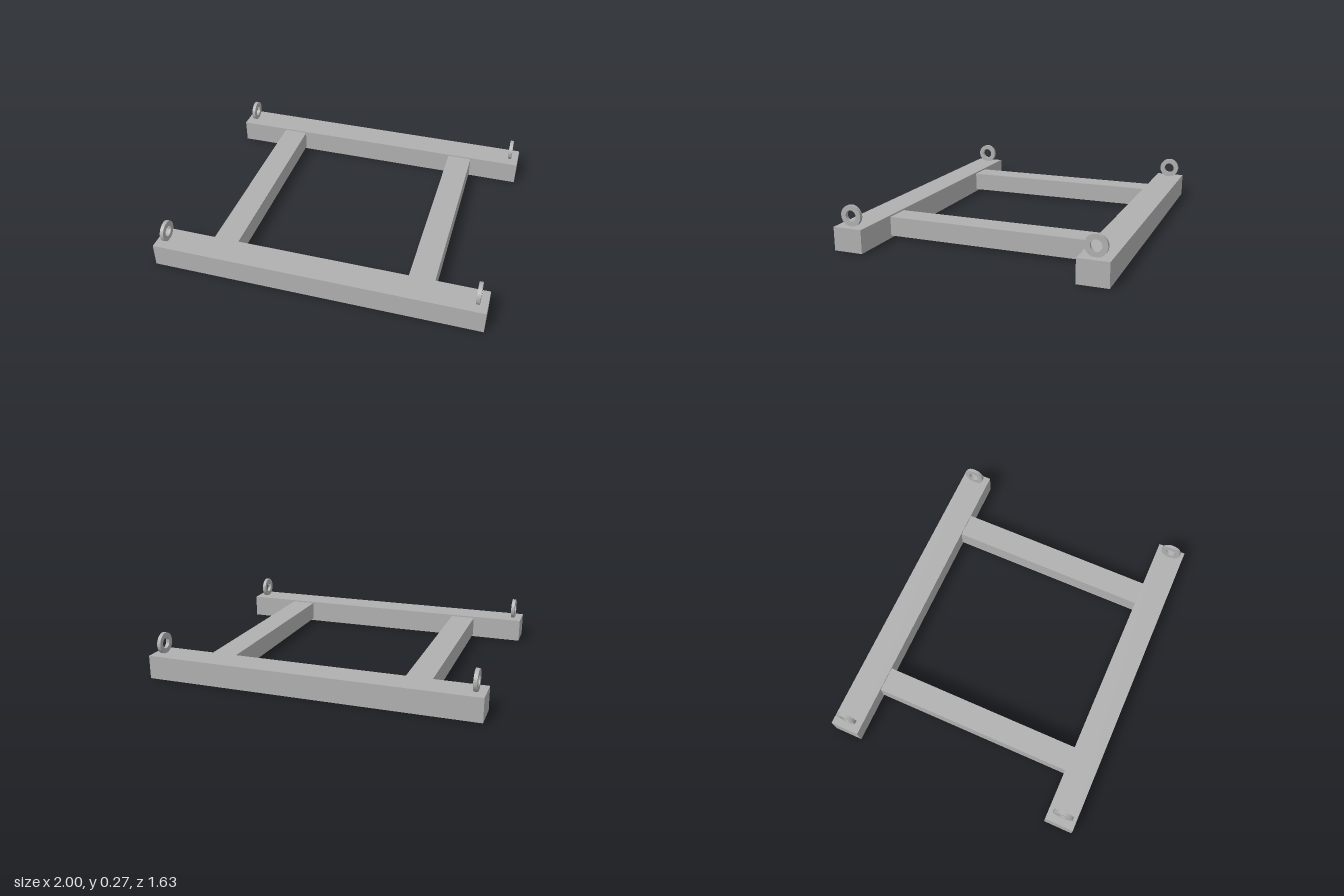
import * as THREE from 'three';
import { toCreasedNormals } from 'three/addons/utils/BufferGeometryUtils.js';

export function createModel() {
  const group = new THREE.Group();
  const steel = new THREE.MeshStandardMaterial({ color: 0xb0b0b0 });
  steel.name = 'grey steel';

  const add = (name, geometry, x, y, z) => {
    const mesh = new THREE.Mesh(geometry, steel);
    mesh.name = name;
    mesh.position.set(x, y, z);
    group.add(mesh);
  };

  // Flat lifting ring with a round hole, its axis along x
  const ringWidth = 0.022;
  const outline = new THREE.Shape().absarc(0, 0, 0.0635, 0, Math.PI * 2, false);
  outline.holes.push(new THREE.Path().absarc(0, 0, 0.033, 0, Math.PI * 2, true));
  let ring = new THREE.ExtrudeGeometry(outline, {
    depth: ringWidth, bevelEnabled: false, curveSegments: 36,
  });
  ring.translate(0, 0, -ringWidth / 2).rotateY(Math.PI / 2);
  ring = toCreasedNormals(ring, 0.6);

  const longBeam = new THREE.BoxGeometry(2, 0.142, 0.18);
  const crossBeam = new THREE.BoxGeometry(0.155, 0.118, 1.27);

  for (const side of [1, -1]) {
    // Long beams at front and back
    add(side > 0 ? 'frontBeam' : 'backBeam', longBeam, 0, 0.071, side * 0.725);
    // Slightly thinner beams joining them
    add(side > 0 ? 'leftCrossBeam' : 'rightCrossBeam', crossBeam, side * 0.605, 0.074, 0);
    // Lifting rings standing on the beam ends
    for (const end of [1, -1]) {
      const name = (side > 0 ? 'front' : 'back') + (end > 0 ? 'Left' : 'Right') + 'LiftingRing';
      add(name, ring, end * 0.944, 0.203, side * 0.726);
    }
  }
  return group;
}
